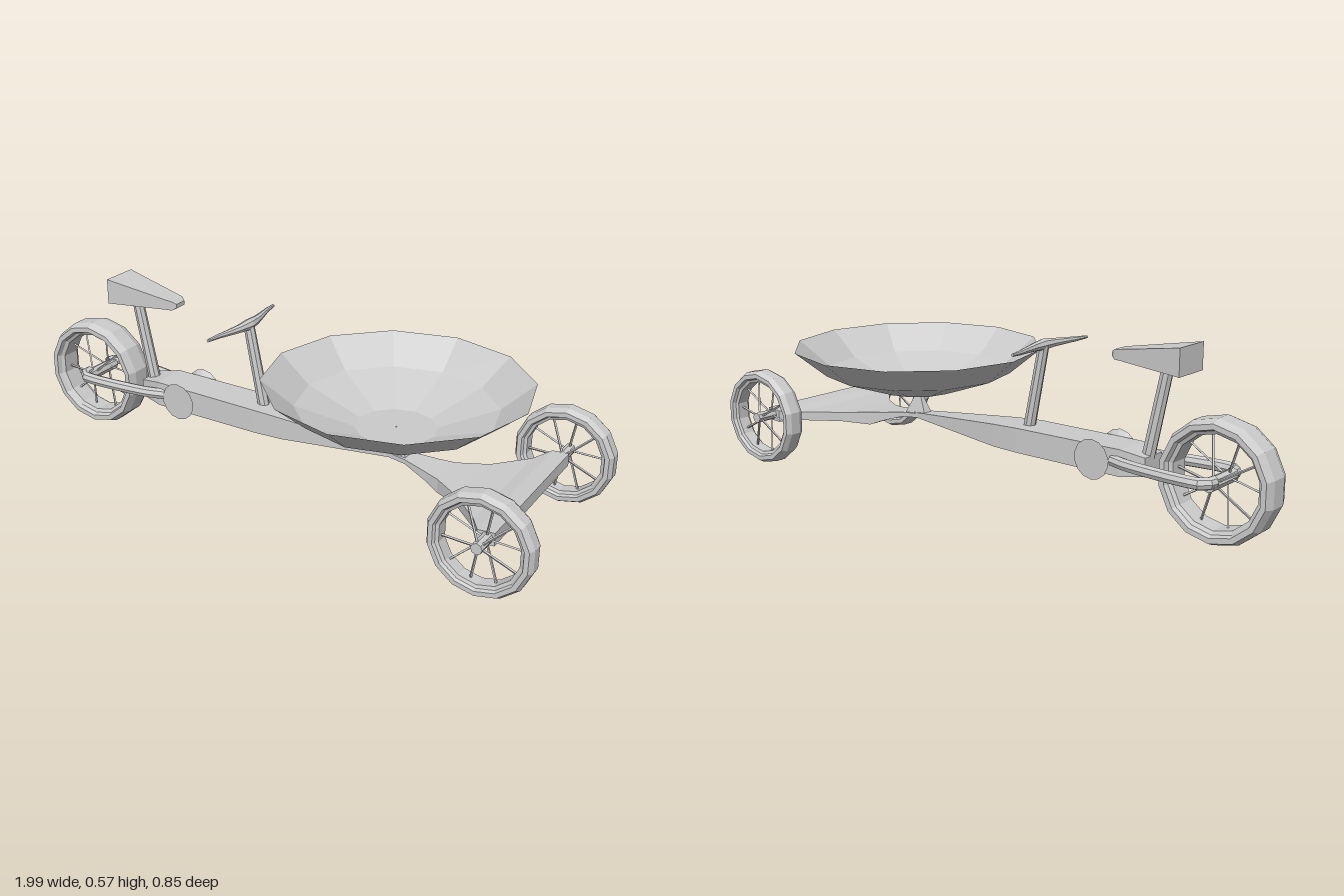
import * as THREE from 'three';

const grey = new THREE.MeshStandardMaterial({ color: 0xcccccc, flatShading: true });
const thin = new THREE.MeshStandardMaterial({ color: 0xcccccc, flatShading: true, side: THREE.DoubleSide });

const V = (x, y, z) => new THREE.Vector3(x, y, z);

function part(parent, name, geometry, material = grey) {
  const mesh = new THREE.Mesh(geometry, material);
  mesh.name = name;
  parent.add(mesh);
  return mesh;
}

// Round bar between two points
function rod(parent, name, a, b, r0, r1 = r0, sides = 8) {
  const dir = b.clone().sub(a);
  const mesh = part(parent, name, new THREE.CylinderGeometry(r1, r0, dir.length(), sides));
  mesh.position.copy(a).add(b).multiplyScalar(0.5);
  mesh.quaternion.setFromUnitVectors(V(0, 1, 0), dir.normalize());
  return mesh;
}

// Rectangular sections [x, bottom, top, halfWidth] joined along x
function loft(sections) {
  const pos = [], index = [];
  sections.forEach(([x, y0, y1, w], i) => {
    pos.push(x, y0, w, x, y0, -w, x, y1, -w, x, y1, w);
    if (i === 0) return;
    const a = (i - 1) * 4, b = i * 4;
    for (let j = 0; j < 4; j++) {
      const k = (j + 1) % 4;
      index.push(a + j, a + k, b + j, a + k, b + k, b + j);
    }
  });
  const e = (sections.length - 1) * 4;
  index.push(0, 2, 1, 0, 3, 2, e, e + 1, e + 2, e, e + 2, e + 3);
  const g = new THREE.BufferGeometry();
  g.setAttribute('position', new THREE.Float32BufferAttribute(pos, 3));
  g.setIndex(index);
  g.computeVertexNormals();
  return g;
}

// Spoked wheel turning about z
function wheel(name, r, w, hubW) {
  const group = new THREE.Group();
  group.name = name;
  const inner = r * 0.76;
  const profile = [
    [inner, -w * 0.6], [r * 0.82, -w * 0.72], [r * 0.85, -w], [r * 0.94, -w], [r, -w * 0.5],
    [r, w * 0.5], [r * 0.94, w], [r * 0.85, w], [r * 0.82, w * 0.72], [inner, w * 0.6], [inner, -w * 0.6],
  ].map(([x, y]) => new THREE.Vector2(x, y));
  part(group, 'tyre', new THREE.LatheGeometry(profile, 14)).rotation.x = Math.PI / 2;
  rod(group, 'hub', V(0, 0, -hubW), V(0, 0, hubW), r * 0.11);
  // Spokes lean alternately to either end of the hub
  for (let i = 0; i < 10; i++) {
    const t = (i / 10) * Math.PI * 2 + 0.1, c = Math.cos(t), s = Math.sin(t);
    const z = (i % 2 ? 1 : -1) * w * 0.7;
    rod(group, 'spoke', V(c * r * 0.05, s * r * 0.05, z), V(c * r * 0.79, s * r * 0.79, 0), 0.004, 0.004, 4);
  }
  return group;
}

export function createModel() {
  const model = new THREE.Group();
  model.name = 'cargoTricycle';

  // Main beam and swept front axle
  part(model, 'mainFrame', loft([
    [-0.58, 0.167, 0.225, 0.045], [-0.5, 0.155, 0.24, 0.062], [-0.1, 0.155, 0.236, 0.065],
    [0, 0.155, 0.23, 0.058], [0.2, 0.168, 0.213, 0.04], [0.4, 0.18, 0.195, 0.02],
  ]));
  part(model, 'frontAxle', loft([
    [0.36, 0.18, 0.195, 0.02], [0.44, 0.175, 0.19, 0.03], [0.52, 0.15, 0.18, 0.05],
    [0.57, 0.13, 0.175, 0.065], [0.66, 0.138, 0.17, 0.12], [0.76, 0.145, 0.175, 0.22],
    [0.8, 0.145, 0.185, 0.285], [0.855, 0.147, 0.189, 0.285],
  ]));

  // Wheels
  const rear = wheel('rearWheel', 0.19, 0.055, 0.07);
  rear.position.set(-0.81, 0.194, 0);
  model.add(rear);
  for (const s of [1, -1]) {
    const front = wheel(s > 0 ? 'frontWheelLeft' : 'frontWheelRight', 0.165, 0.035, 0.04);
    front.position.set(0.832, 0.169, s * 0.319);
    model.add(front);

    // Rear fork bent in to the hub
    const path = new THREE.CurvePath();
    const pts = [V(-0.47, 0.2, s * 0.055), V(-0.54, 0.2, s * 0.075), V(-0.77, 0.203, s * 0.097),
      V(-0.808, 0.203, s * 0.088), V(-0.818, 0.203, s * 0.05)];
    for (let i = 1; i < pts.length; i++) path.add(new THREE.LineCurve3(pts[i - 1], pts[i]));
    const curve = new THREE.CatmullRomCurve3(pts, false, 'centripetal');
    part(model, 'rearFork', new THREE.TubeGeometry(curve, 14, 0.019, 8), thin);

    // Crank cover, flaring outwards
    rod(model, 'crankDisc', V(-0.405, 0.195, s * 0.055), V(-0.405, 0.195, s * 0.076), 0.035, 0.064, 14);
  }

  // Seat
  rod(model, 'seatPost', V(-0.56, 0.21, 0), V(-0.625, 0.52, 0), 0.021, 0.019);
  part(model, 'seat', loft([
    [-0.698, 0.49, 0.576, 0.064], [-0.47, 0.503, 0.537, 0.034],
    [-0.45, 0.503, 0.534, 0.03], [-0.437, 0.511, 0.525, 0.022],
  ]));

  // Handlebar, thick in the middle and tapering to the swept tips
  rod(model, 'steeringPost', V(-0.1, 0.21, 0), V(-0.16, 0.505, 0), 0.02, 0.018);
  const bar = new THREE.CylinderGeometry(1, 1, 0.376, 8, 8);
  const p = bar.attributes.position;
  for (let i = 0; i < p.count; i++) {
    const z = p.getY(i), t = Math.abs(z) / 0.188;
    const r = 0.019 - 0.014 * Math.pow(t, 0.8);
    const sweep = -0.158 - 0.032 * Math.sin(Math.min(t * 1.25, 1.25) * Math.PI * 0.5) * t;
    p.setXYZ(i, sweep + p.getX(i) * r, 0.505 - p.getZ(i) * r, z);
  }
  bar.computeVertexNormals();
  part(model, 'handlebar', bar);

  // Cargo bowl on its pointed support
  const bowl = [[0, 0.278], [0.13, 0.278], [0.32, 0.345], [0.425, 0.432]].map(([x, y]) => new THREE.Vector2(x, y));
  part(model, 'cargoBowl', new THREE.LatheGeometry(bowl, 12), thin).position.x = 0.39;
  const support = part(model, 'bowlSupport', new THREE.ConeGeometry(0.07, 0.1, 4, 1, false, Math.PI / 4));
  support.scale.z = 0.42;
  support.position.set(0.39, 0.232, 0);

  return model;
}
